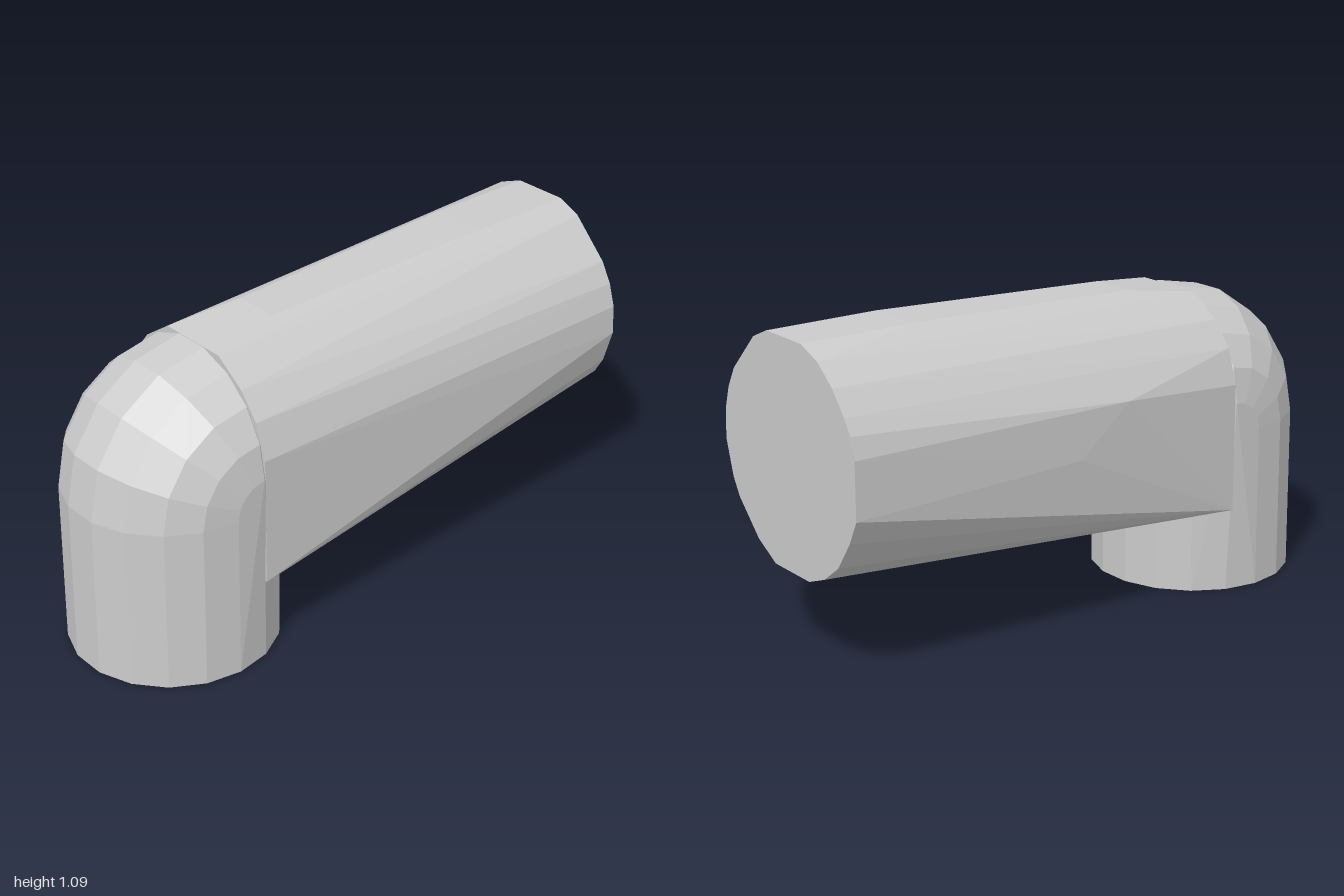
import * as THREE from 'three';
import { ConvexGeometry } from 'three/addons/geometries/ConvexGeometry.js';

const V = (x, y, z) => new THREE.Vector3(x, y, z);

function hullMesh(name, points) {
  const material = new THREE.MeshStandardMaterial({ color: 0xcccccc, flatShading: true });
  const mesh = new THREE.Mesh(new ConvexGeometry(points), material);
  mesh.name = name;
  return mesh;
}

// Upright pipe whose rounded top bends towards the back
function elbowPoints() {
  const points = [];
  const sides = 18, radius = 0.353, bend = 0.105, pivotZ = 0.54, pivotY = 0.57;
  for (let i = 0; i < sides; i++) {
    const t = ((i + 0.5) / sides) * Math.PI * 2;
    const x = radius * Math.sin(t);
    const r = bend + radius * Math.cos(t);
    points.push(V(x, 0, pivotZ + r + 0.005));
    for (let k = 0; k <= 4; k++) {
      const a = (k / 4) * Math.PI / 2;
      points.push(V(x, pivotY + r * Math.sin(a), pivotZ + r * Math.cos(a)));
    }
  }
  return points;
}

// Long horizontal pipe: arched, square-bottomed joint blending into a round end
function armPoints() {
  const points = [];
  const arch = [[0.35, 0.295], [0.35, 0.74], [0.31, 0.86], [0.24, 0.945], [0.13, 1.02]];
  for (const s of [-1, 1]) {
    for (const [x, y] of arch) points.push(V(s * x, y, 0.535));
    // crown where the top rises towards the end
    points.push(V(s * 0.08, 1.053, 0.28), V(s * 0.1, 1.085, -0.6));
  }
  // slightly irregular end outline
  const end = [
    [0.1, 1.085], [0.18, 1.05], [0.31, 0.92], [0.35, 0.85], [0.375, 0.77], [0.38, 0.67],
    [0.345, 0.55], [0.31, 0.49], [0.2, 0.38], [0.1, 0.325], [-0.1, 0.325], [-0.19, 0.36],
    [-0.27, 0.42], [-0.34, 0.52], [-0.38, 0.6], [-0.38, 0.79], [-0.36, 0.86],
    [-0.33, 0.91], [-0.27, 0.985], [-0.19, 1.05], [-0.1, 1.085],
  ];
  for (const [x, y] of end) points.push(V(x, y, -1));
  // fuller flank on one side
  points.push(V(-0.38, 0.62, -0.15), V(-0.378, 0.78, 0.05));
  return points;
}

export function createModel() {
  const group = new THREE.Group();
  group.name = 'pipeElbow';
  group.add(hullMesh('uprightElbow', elbowPoints()), hullMesh('horizontalArm', armPoints()));
  return group;
}
